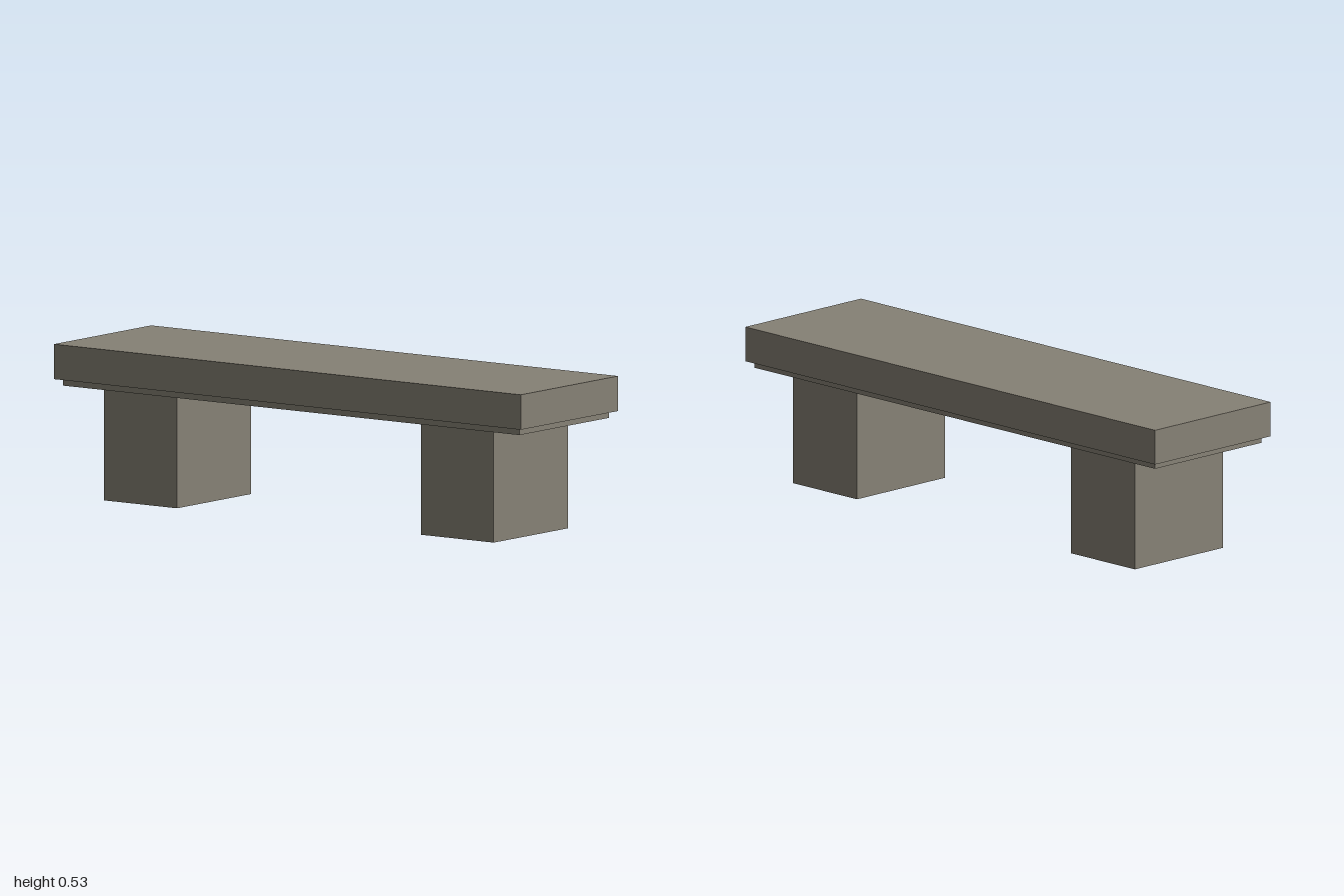
import * as THREE from 'three';

const stone = new THREE.MeshStandardMaterial({ color: 0x868175, side: THREE.DoubleSide });
stone.name = 'grey stone';

// Four upright walls: a box without its top and bottom faces
function openBox(w, h, d) {
  const g = new THREE.BoxGeometry(w, h, d);
  const index = Array.from(g.index.array);
  g.setIndex([...index.slice(0, 12), ...index.slice(24)]);
  g.clearGroups();
  return g;
}

export function createModel() {
  const bench = new THREE.Group();
  bench.name = 'bench';

  const add = (name, geometry, x, y) => {
    const mesh = new THREE.Mesh(geometry, stone);
    mesh.name = name;
    mesh.position.set(x, y, 0);
    bench.add(mesh);
  };

  const slabBottom = 0.413, slabTop = 0.534, trimBottom = 0.39;

  // Closed seat slab
  add('seat', new THREE.BoxGeometry(2, slabTop - slabBottom, 0.556), 0, (slabTop + slabBottom) / 2);

  // Hollow trim below the slab
  add('seatTrim', openBox(1.956, slabBottom - trimBottom, 0.512), 0, (slabBottom + trimBottom) / 2);

  // Hollow block legs, open at the foot
  for (const [name, side] of [['leftLeg', 1], ['rightLeg', -1]]) {
    add(name, openBox(0.312, slabBottom, 0.423), side * 0.678, slabBottom / 2);
  }
  return bench;
}
